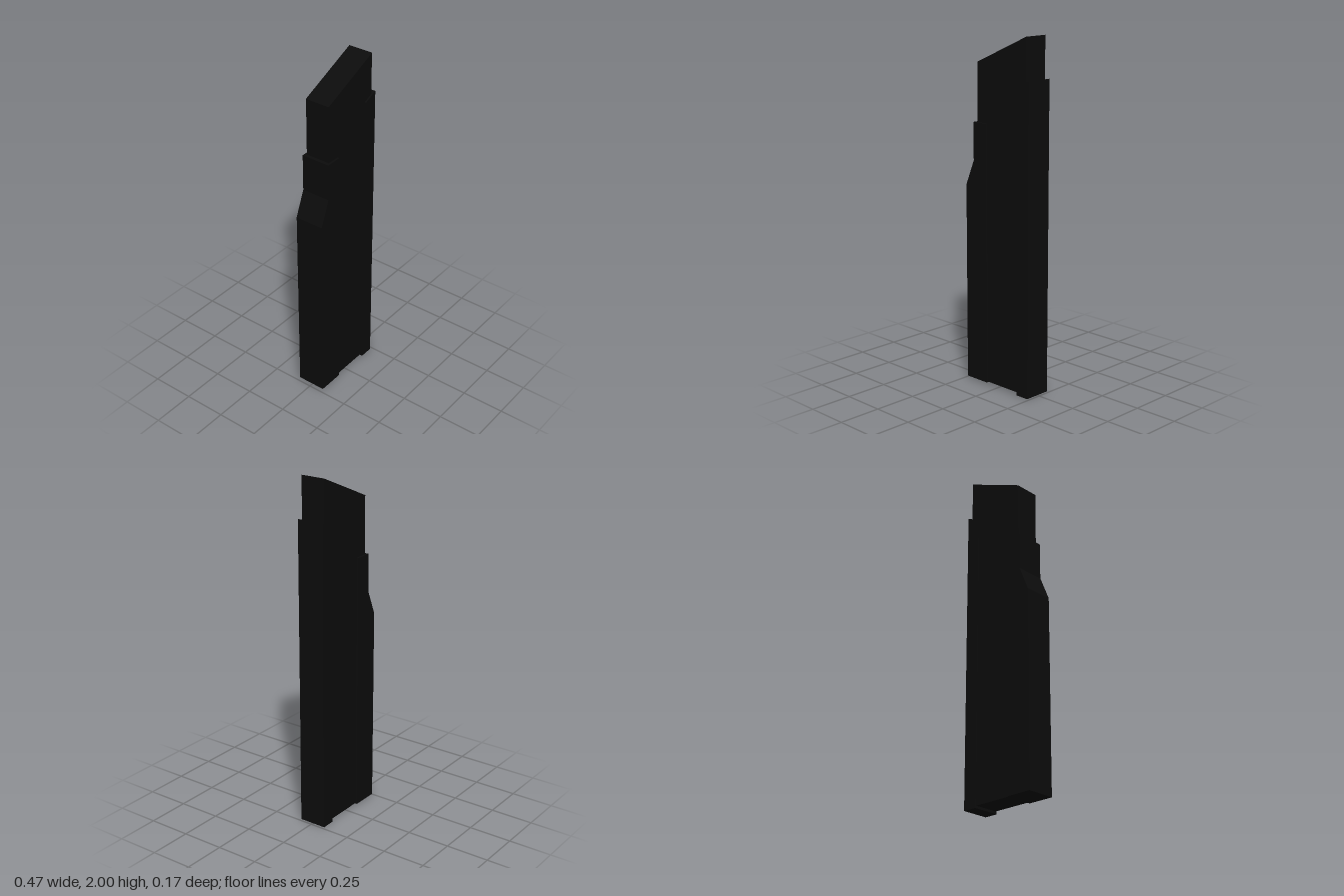
import * as THREE from 'three';

const material = new THREE.MeshStandardMaterial({ color: 0x0c0c0c });

// Extrudes an x/y outline to a slab centred on z = 0.
function slab(name, outline, depth) {
  const shape = new THREE.Shape(outline.map(([x, y]) => new THREE.Vector2(x, y)));
  const geometry = new THREE.ExtrudeGeometry(shape, { depth, bevelEnabled: false });
  geometry.translate(0, 0, -depth / 2);
  const mesh = new THREE.Mesh(geometry, material);
  mesh.name = name;
  return mesh;
}

export function createModel() {
  const model = new THREE.Group();
  model.name = 'slantedTower';

  // Thin central body with a sloping top
  model.add(slab('core', [
    [-0.155, 0.014], [0.21, 0.014], [0.21, 2], [-0.155, 1.84],
  ], 0.146));

  // Thicker casing on the low side, stepped in near its top
  model.add(slab('steppedCasing', [
    [-0.235, 0.012], [-0.08, 0.012], [-0.08, 1.51],
    [-0.175, 1.51], [-0.175, 1.295], [-0.235, 1.15],
  ], 0.17));

  // Narrow casing along the high side, its top parallel to the slope
  model.add(slab('edgeCasing', [
    [0.153, 0], [0.235, 0], [0.235, 1.77], [0.153, 1.735],
  ], 0.162));

  return model;
}
